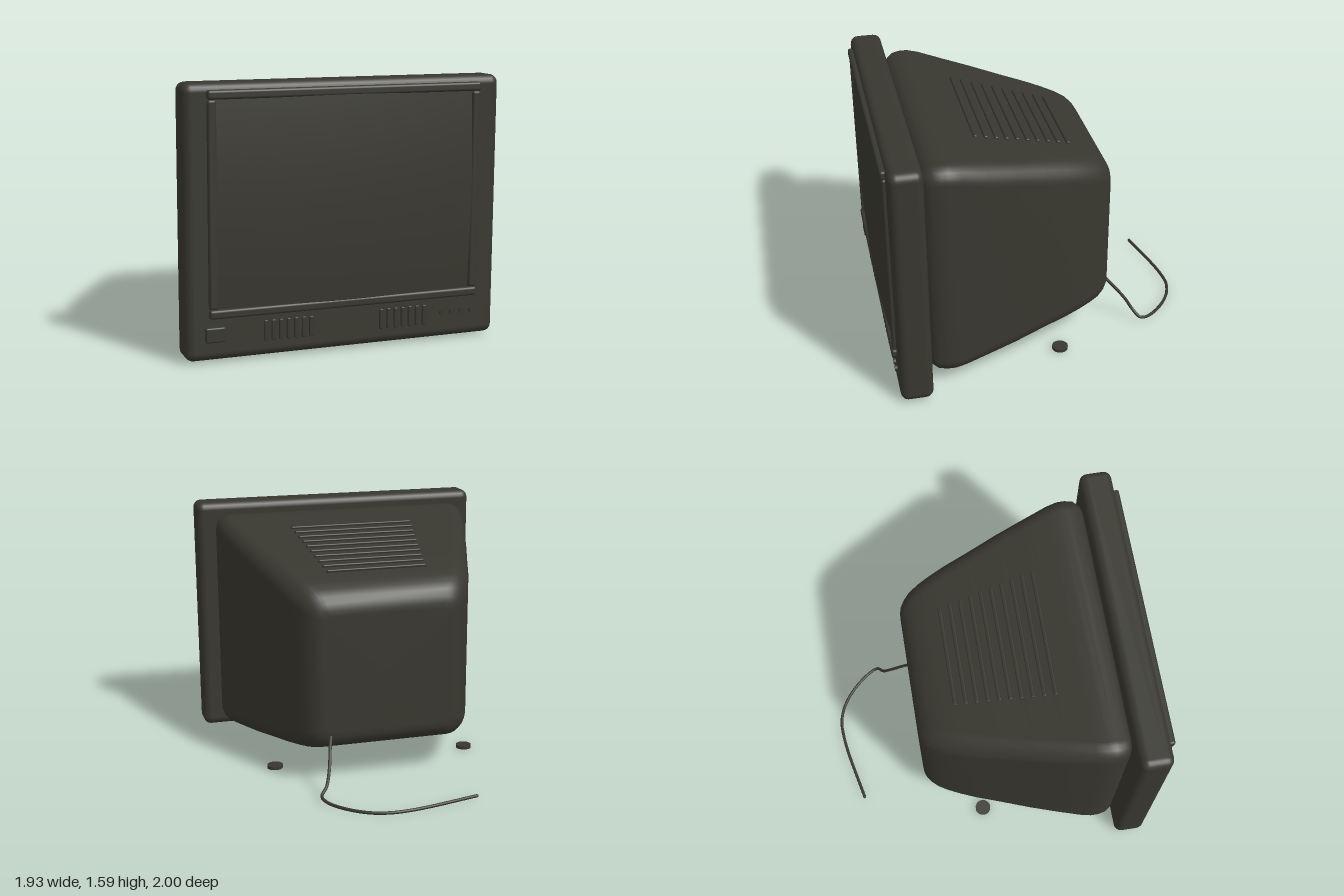
import * as THREE from 'three';
import { RoundedBoxGeometry } from 'three/addons/geometries/RoundedBoxGeometry.js';

const plastic = new THREE.MeshStandardMaterial({ color: 0x38372f });
plastic.name = 'dark olive plastic';

// Rounded rectangle outline, counter-clockwise, in the xy plane at depth z
function section(z, w, y0, y1, r, n = 6) {
  const pts = [];
  const corners = [[w - r, y1 - r], [-w + r, y1 - r], [-w + r, y0 + r], [w - r, y0 + r]];
  corners.forEach(([cx, cy], q) => {
    for (let k = 0; k <= n; k++) {
      const a = (q + k / n) * Math.PI / 2;
      pts.push([cx + r * Math.cos(a), cy + r * Math.sin(a), z]);
    }
  });
  return pts;
}

// Skin over sections running from front to back, closed at both ends
function loft(sections) {
  const n = sections[0].length, rows = sections.length;
  const pos = sections.flat(2), idx = [];
  for (let i = 0; i < rows - 1; i++) {
    for (let j = 0; j < n; j++) {
      const a = i * n + j, b = i * n + (j + 1) % n;
      idx.push(a, a + n, b, b, a + n, b + n);
    }
  }
  const cap = (row, flip) => {
    const s = sections[row], c = pos.length / 3;
    pos.push(0, (s[0][1] + s[Math.floor(n / 2) + 1][1]) / 2, s[0][2]);
    for (let j = 0; j < n; j++) {
      const a = row * n + j, b = row * n + (j + 1) % n;
      flip ? idx.push(c, b, a) : idx.push(c, a, b);
    }
  };
  cap(0, false);
  cap(rows - 1, true);
  const g = new THREE.BufferGeometry();
  g.setAttribute('position', new THREE.Float32BufferAttribute(pos, 3));
  g.setIndex(idx);
  g.computeVertexNormals();
  return g;
}

export function createModel() {
  const model = new THREE.Group();
  model.name = 'monitor';

  const add = (name, geo, x = 0, y = 0, z = 0) => {
    const m = new THREE.Mesh(geo, plastic);
    m.name = name;
    m.position.set(x, y, z);
    model.add(m);
    return m;
  };
  const box = (name, w, h, d, x, y, z, r) =>
    add(name, new RoundedBoxGeometry(w, h, d, 3, r), x, y, z);

  // Front bezel
  box('bezel', 1.93, 1.575, 0.2, 0, 0.803, 0.855, 0.05);

  // Tapered rear housing: z, half width, bottom, top, corner radius
  const profile = [
    [0.75, 0.79, 0.15, 1.465, 0.06],
    [0.735, 0.82, 0.125, 1.49, 0.08],
    [0.70, 0.845, 0.102, 1.515, 0.09],
    [0.65, 0.856, 0.092, 1.525, 0.1],
    [0.60, 0.856, 0.09, 1.525, 0.1],
    [0.53, 0.842, 0.095, 1.512, 0.1],
    [0.38, 0.802, 0.112, 1.471, 0.11],
    [0.20, 0.748, 0.135, 1.422, 0.11],
    [0.00, 0.683, 0.162, 1.368, 0.12],
    [-0.15, 0.635, 0.183, 1.327, 0.12],
    [-0.25, 0.597, 0.199, 1.297, 0.12],
    [-0.33, 0.562, 0.214, 1.270, 0.12],
    [-0.39, 0.527, 0.231, 1.240, 0.11],
    [-0.43, 0.492, 0.254, 1.205, 0.1],
    [-0.455, 0.457, 0.285, 1.165, 0.08],
    [-0.466, 0.425, 0.315, 1.125, 0.06],
    [-0.468, 0.39, 0.35, 1.09, 0.05],
  ];
  add('rearHousing', loft(profile.map((p) => section(...p))));

  // Bulging screen
  const screen = new THREE.PlaneGeometry(1.58, 1.2, 24, 20);
  const p = screen.attributes.position;
  for (let i = 0; i < p.count; i++) {
    const u = p.getX(i) / 0.79, v = p.getY(i) / 0.6;
    p.setZ(i, -0.025 * u * u - 0.018 * v * v);
  }
  screen.computeVertexNormals();
  add('screen', screen, 0, 0.91, 1.0);

  // Screen surround
  box('surroundTop', 1.665, 0.052, 0.05, 0, 1.526, 0.96, 0.015);
  box('surroundBottom', 1.665, 0.052, 0.05, 0, 0.292, 0.96, 0.015);
  for (const s of [-1, 1]) box('surroundSide', 0.052, 1.18, 0.05, s * 0.806, 0.909, 0.953, 0.015);

  // Speaker grille bars, both sides
  for (const s of [-1, 1]) {
    for (let i = 0; i < 7; i++) {
      box('grilleBar', 0.024, 0.122, 0.03, s * (0.22 + i * 0.046), 0.17, 0.953, 0.006);
    }
  }

  // Power button, indicator and adjustment knobs
  box('powerButton', 0.116, 0.088, 0.04, -0.797, 0.172, 0.955, 0.01);
  const disc = (name, r, h, x, y, z) =>
    add(name, new THREE.CylinderGeometry(r, r, h, 20).rotateX(Math.PI / 2), x, y, z);
  disc('indicator', 0.009, 0.02, -0.68, 0.172, 0.95);
  for (let i = 0; i < 4; i++) disc('knob', 0.018, 0.03, 0.617 + i * 0.065, 0.172, 0.955);

  // Cooling ribs along the sloping top
  for (let i = 0; i < 10; i++) {
    const z = -0.22 + i * 0.0655;
    const rib = box('coolingRib', 0.64 + i * 0.0195, 0.024, 0.024, 0, 1.37 + z * 0.272, z, 0.008);
    rib.rotation.x = -0.265;
  }

  // Feet
  for (const x of [-0.645, 0.645]) {
    for (const z of [0.785, -0.105]) {
      add('foot', new THREE.CylinderGeometry(0.05, 0.05, 0.02, 24), x, 0.018, z);
    }
  }

  // Power cable trailing on the ground
  const path = new THREE.CatmullRomCurve3([
    [0.35, 0.35, -0.43], [0.37, 0.30, -0.48], [0.41, 0.155, -0.60], [0.44, 0.075, -0.65],
    [0.48, 0.035, -0.69], [0.46, 0.017, -0.75], [0.36, 0.011, -0.87], [0.24, 0.012, -0.955],
    [0.13, 0.015, -0.99], [0.03, 0.015, -0.99], [-0.1, 0.015, -0.973], [-0.44, 0.016, -0.9],
  ].map((a) => new THREE.Vector3(...a)));
  add('powerCable', new THREE.TubeGeometry(path, 80, 0.01, 10));
  for (const t of [0, 1]) {
    const end = path.getPoint(t);
    add('cableEnd', new THREE.SphereGeometry(0.01, 10, 8), end.x, end.y, end.z);
  }

  return model;
}
